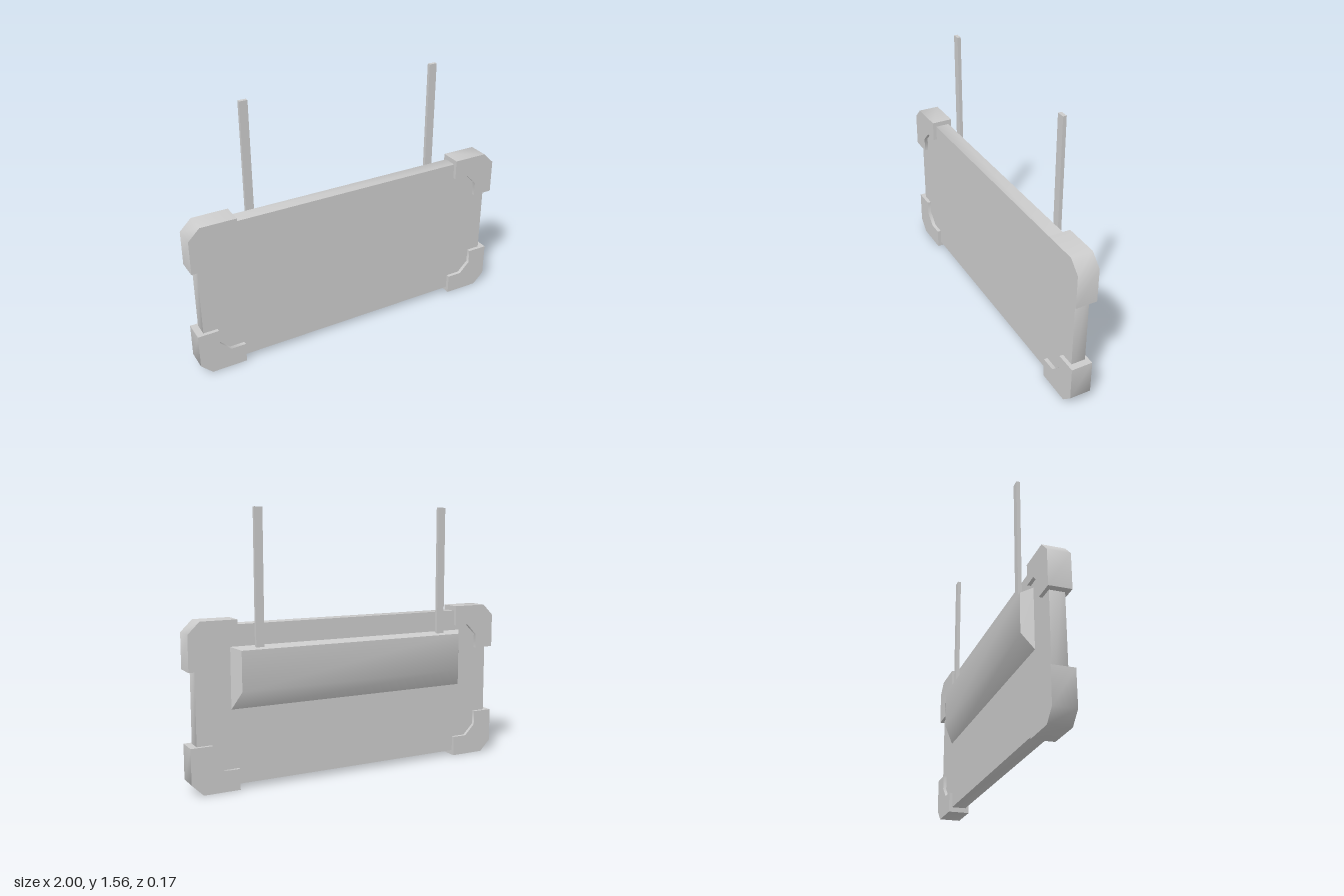
import * as THREE from 'three';
import { toCreasedNormals } from 'three/addons/utils/BufferGeometryUtils.js';

const MID_Y = 0.478; // height of the panel's centre
const CREASE = 0.87; // softens shallow bevels, keeps square edges sharp
const material = new THREE.MeshStandardMaterial({ color: 0xcccccc });

function addPart(group, name, geometry) {
  const mesh = new THREE.Mesh(geometry, material);
  mesh.name = name;
  group.add(mesh);
  return mesh;
}

// Prism with an outline in x/y, running from z0 to z1
function plate(points, z0, z1) {
  const shape = new THREE.Shape(points.map(([x, y]) => new THREE.Vector2(x, y)));
  const geometry = new THREE.ExtrudeGeometry(shape, { depth: z1 - z0, bevelEnabled: false });
  geometry.translate(0, 0, z0);
  return toCreasedNormals(geometry, CREASE);
}

// Box whose back face (-z) is replaced by a smaller rectangle
function taperedHousing(base, back) {
  const geometry = new THREE.BoxGeometry(2, 2, 2);
  const p = geometry.attributes.position;
  for (let i = 0; i < p.count; i++) {
    const r = p.getZ(i) < 0 ? back : base;
    p.setXYZ(i, p.getX(i) * r.x, p.getY(i) < 0 ? r.bottom : r.top, r.z);
  }
  return toCreasedNormals(geometry, CREASE);
}

export function createModel() {
  const group = new THREE.Group();

  // Main slab, corners clipped so they stay inside the guards
  const w = 0.96, h = 0.448, c = 0.04;
  const slab = [
    [w - c, h], [-w + c, h], [-w, h - c], [-w, -h + c],
    [-w + c, -h], [w - c, -h], [w, -h + c], [w, h - c],
  ].map(([x, y]) => [x, y + MID_Y]);
  addPart(group, 'panel', plate(slab, -0.024, 0.061));

  // Chamfered L-shaped guards on the four corners
  const guard = [
    [0.72, 0.477], [0.932, 0.477], [1, 0.41], [1, 0.207],
    [0.875, 0.207], [0.875, 0.292], [0.81, 0.357], [0.72, 0.357],
  ];
  for (const sx of [1, -1]) {
    for (const sy of [1, -1]) {
      const outline = guard.map(([x, y]) => [x * sx, MID_Y + y * sy]);
      const name = (sy > 0 ? 'upper' : 'lower') + (sx > 0 ? 'Left' : 'Right') + 'CornerGuard';
      addPart(group, name, plate(outline, -0.044, 0.083));
    }
  }

  // Sloped housing on the back
  addPart(group, 'rearHousing', taperedHousing(
    { x: 0.76, bottom: 0.45, top: 0.806, z: -0.02 },
    { x: 0.714, bottom: 0.56, top: 0.788, z: -0.083 },
  ));

  // Two upright bars rising from the housing
  for (const sx of [1, -1]) {
    const bar = addPart(group, sx > 0 ? 'leftBar' : 'rightBar', new THREE.BoxGeometry(0.048, 0.77, 0.021));
    bar.position.set(0.594 * sx, 1.173, -0.046);
  }

  return group;
}
